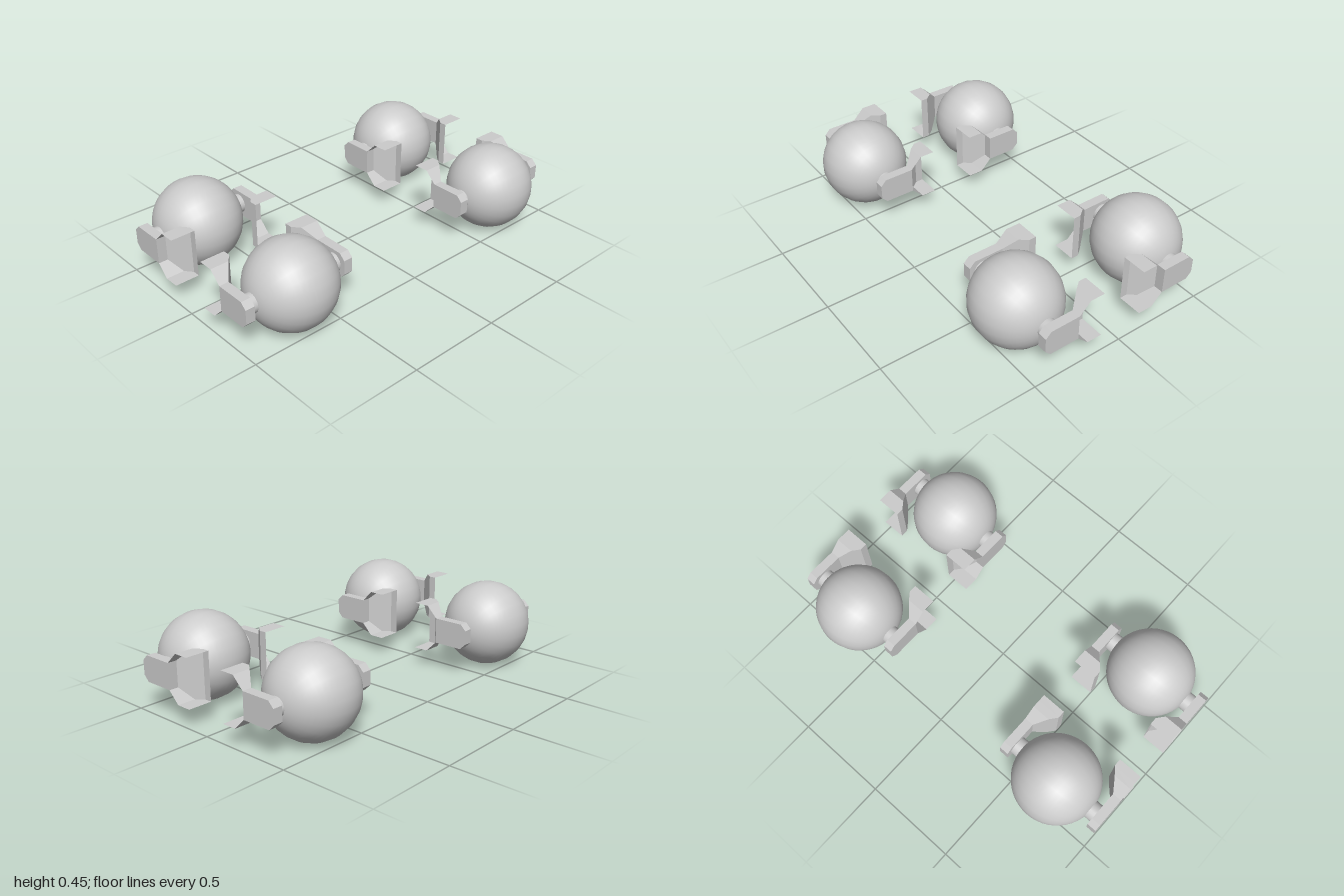
import * as THREE from 'three';

const grey = new THREE.MeshStandardMaterial({ color: 0xcccccc });
const greyFlat = new THREE.MeshStandardMaterial({ color: 0xcccccc, flatShading: true, side: THREE.DoubleSide });

const RADIUS = 0.229;
const OUTER = 0.31; // bracket outer face, measured from the wheel centre
const INNER = 0.26; // arm face towards the wheel

function named(name, geometry, material) {
  const mesh = new THREE.Mesh(geometry, material);
  mesh.name = name;
  return mesh;
}

// Flat arm with two cut corners at its free end
function armGeometry() {
  const x0 = -0.115, x1 = 0.075, h = 0.068, c = 0.03;
  const shape = new THREE.Shape([
    [x0, -h], [x1 - c, -h], [x1, -h + c], [x1, h - c], [x1 - c, h], [x0, h],
  ].map(([x, y]) => new THREE.Vector2(x, y)));
  const g = new THREE.ExtrudeGeometry(shape, { depth: OUTER - INNER, bevelEnabled: false });
  return g.translate(0, 0, INNER);
}

// Open channel that flares from the arm: U-shaped cross-sections along x
function flareGeometry() {
  const sections = [ // x, half height, depth of the wall
    [-0.115, 0.068, INNER],
    [-0.175, 0.1275, 0.212],
    [-0.215, 0.1275, 0.18],
    [-0.255, 0.1275, 0.18],
  ];
  const positions = [], index = [];
  for (const [x, h, z] of sections) {
    positions.push(x, h, OUTER, x, h, z, x, -h, z, x, -h, OUTER);
  }
  for (let i = 0; i < sections.length - 1; i++) {
    for (let j = 0; j < 3; j++) {
      const a = i * 4 + j, b = a + 4;
      index.push(a, a + 1, b, b, a + 1, b + 1);
    }
  }
  const g = new THREE.BufferGeometry();
  g.setAttribute('position', new THREE.Float32BufferAttribute(positions, 3));
  g.setIndex(index);
  const flat = g.toNonIndexed();
  flat.computeVertexNormals();
  return flat;
}

export function createModel() {
  const model = new THREE.Group();
  model.name = 'ballWheels';

  // Ball with its poles on the axle
  const ball = new THREE.SphereGeometry(RADIUS, 24, 24).rotateX(Math.PI / 2).rotateZ(Math.PI / 24);
  const axle = new THREE.CylinderGeometry(0.05, 0.05, 2 * INNER, 24).rotateX(Math.PI / 2);
  const arm = armGeometry();
  const flare = flareGeometry();

  for (const sx of [1, -1]) {
    for (const sz of [1, -1]) {
      const unit = new THREE.Group();
      unit.name = (sz > 0 ? 'front' : 'back') + (sx > 0 ? 'Left' : 'Right') + 'Wheel';
      unit.add(named('ball', ball, grey), named('axle', axle, grey));

      // A bracket on each end of the axle
      for (const turn of [0, Math.PI]) {
        const bracket = new THREE.Group();
        bracket.name = 'bracket';
        bracket.add(named('arm', arm, greyFlat), named('flare', flare, greyFlat));
        bracket.rotation.x = turn;
        unit.add(bracket);
      }

      unit.position.set(sx * 0.374, 0.2275, sz * 0.69);
      unit.rotation.y = sx > 0 ? 0 : Math.PI;
      model.add(unit);
    }
  }
  return model;
}
